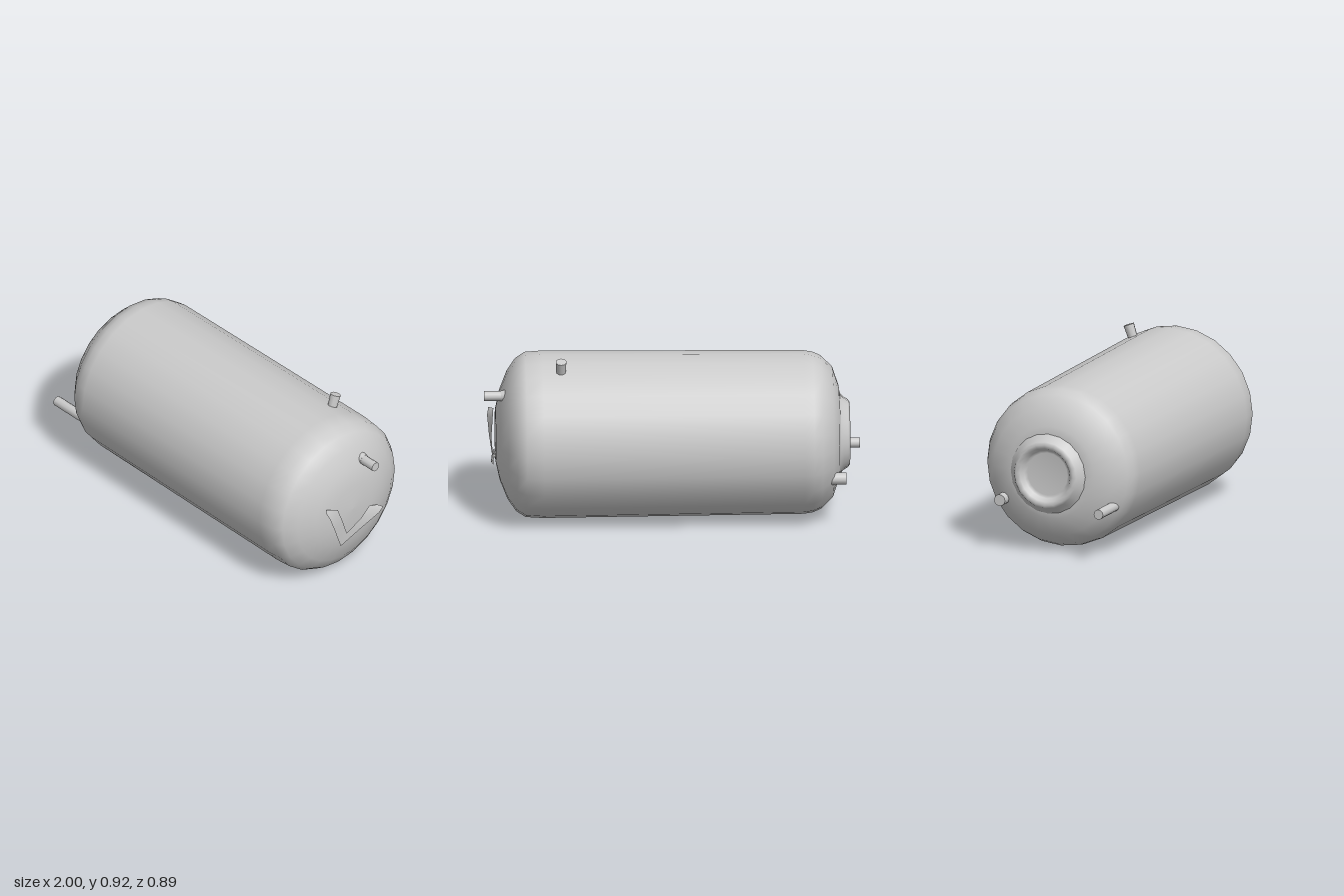
import * as THREE from 'three';

const material = new THREE.MeshStandardMaterial({ color: 0xcccccc });
const thin = new THREE.MeshStandardMaterial({ color: 0xcccccc, side: THREE.DoubleSide });

function add(group, name, geometry, mat = material) {
  const mesh = new THREE.Mesh(geometry, mat);
  mesh.name = name;
  group.add(mesh);
  return mesh;
}

// Closed cylinder running from a to b
function pipe(group, name, a, b, r0, r1 = r0) {
  const from = new THREE.Vector3(...a), to = new THREE.Vector3(...b);
  const dir = to.clone().sub(from);
  const mesh = add(group, name, new THREE.CylinderGeometry(r1, r0, dir.length(), 10));
  mesh.position.copy(from).add(to).multiplyScalar(0.5);
  mesh.quaternion.setFromUnitVectors(new THREE.Vector3(0, 1, 0), dir.normalize());
}

// Revolved shell: pairs of [radius, position along x]
function shell(profile, segments) {
  const g = new THREE.LatheGeometry(profile.map(([r, x]) => new THREE.Vector2(r, x)), segments);
  g.rotateZ(-Math.PI / 2);
  return g;
}

export function createModel() {
  const group = new THREE.Group();
  group.name = 'tank';

  // Tank body with domed ends; slightly wider toward +x
  const body = add(group, 'tankBody', shell([
    [0, -0.88], [0.2, -0.885], [0.25, -0.877], [0.345, -0.845], [0.405, -0.785],
    [0.425, -0.74], [0.433, -0.69], [0.443, 0.69], [0.437, 0.78], [0.405, 0.83],
    [0.34, 0.875], [0.24, 0.915], [0.14, 0.937], [0, 0.942],
  ], 24));
  body.position.y = 0.45;

  // Raised manhole rim with a recessed cover
  const rim = add(group, 'manholeRim', shell([
    [0, -0.893], [0.115, -0.893], [0.13, -0.905], [0.145, -0.928], [0.165, -0.935],
    [0.18, -0.925], [0.195, -0.9], [0.225, -0.875],
  ], 20));
  rim.position.set(0, 0.445, -0.01);

  // Pipe stubs on both ends and the top
  pipe(group, 'longDrainPipe', [-0.76, 0.28, 0.33], [-1, 0.28, 0.33], 0.027);
  pipe(group, 'shortDrainPipe', [-0.78, 0.28, -0.28], [-0.91, 0.28, -0.28], 0.032);
  pipe(group, 'endOutlet', [0.86, 0.7, -0.108], [1, 0.7, -0.108], 0.026);
  pipe(group, 'outletCollar', [0.87, 0.7, -0.108], [0.912, 0.7, -0.108], 0.038, 0.027);
  pipe(group, 'topNozzle', [0.595, 0.82, -0.163], [0.595, 0.915, -0.197], 0.024, 0.029);

  // V-shaped bracket: outer and inner edge point for each section
  const sections = [
    [[0.968, 0.535, 0.215], [0.942, 0.535, 0.19]],
    [[0.975, 0.495, 0.197], [0.948, 0.5, 0.115]],
    [[0.966, 0.4, 0.156], [0.955, 0.41, 0.085]],
    [[0.943, 0.25, 0.09], [0.95, 0.32, 0.053]],
    [[0.955, 0.31, -0.055], [0.955, 0.375, -0.05]],
    [[0.965, 0.353, -0.165], [0.945, 0.413, -0.115]],
    [[0.957, 0.37, -0.205], [0.942, 0.39, -0.175]],
  ];
  const bracket = new THREE.BufferGeometry();
  bracket.setAttribute('position', new THREE.Float32BufferAttribute(sections.flat(2), 3));
  const index = [];
  for (let i = 0; i < sections.length - 1; i++) {
    const k = i * 2;
    index.push(k, k + 2, k + 1, k + 1, k + 2, k + 3);
  }
  bracket.setIndex(index);
  bracket.computeVertexNormals();
  add(group, 'bracket', bracket, thin);

  return group;
}
